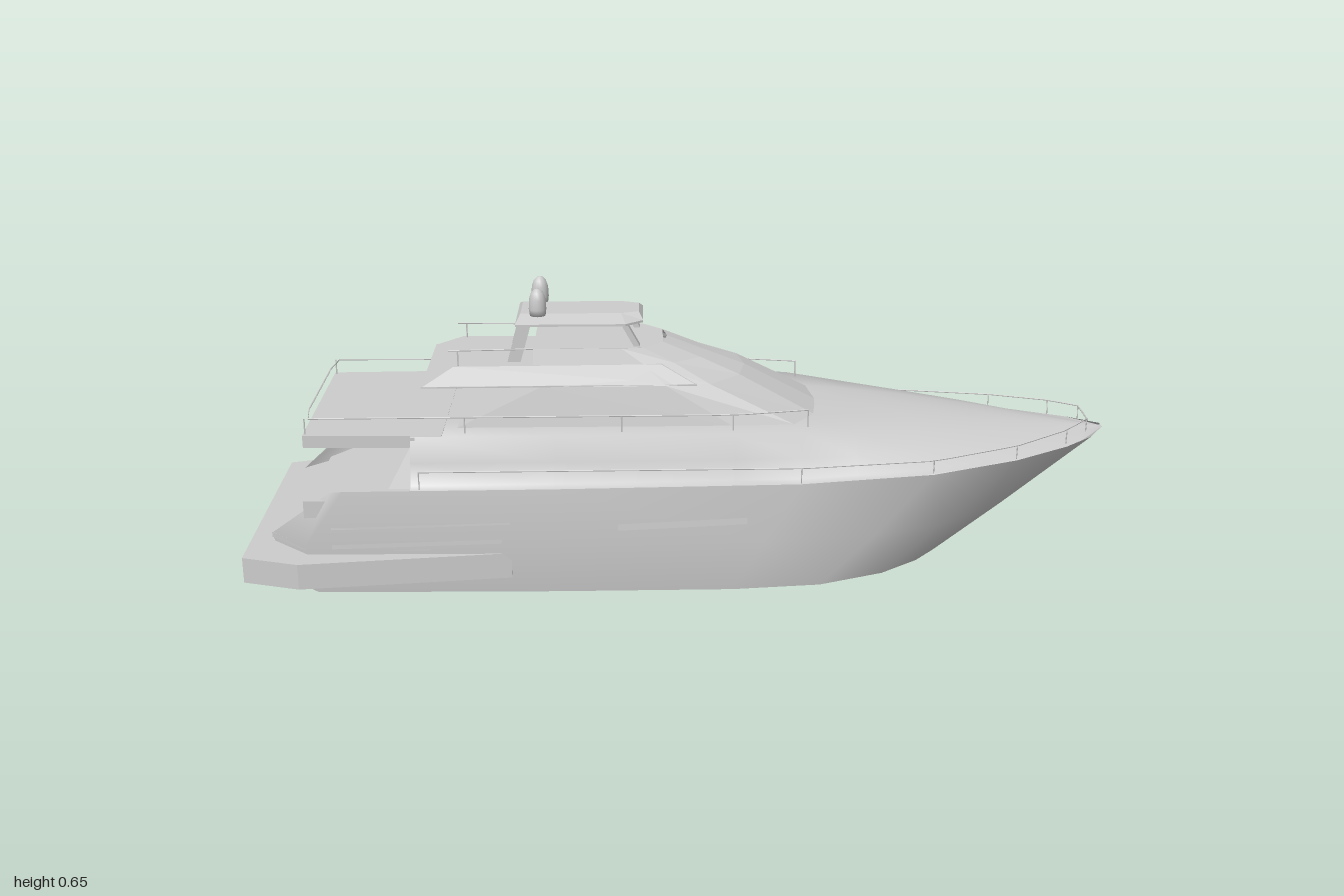
import * as THREE from 'three';

const mat = new THREE.MeshStandardMaterial({ color: 0xcccccc, side: THREE.DoubleSide });
const flat = new THREE.MeshStandardMaterial({ color: 0xcccccc, side: THREE.DoubleSide, flatShading: true });
const V = (x, y, z) => new THREE.Vector3(x, y, z);

function add(parent, name, geometry, material = flat) {
  const mesh = new THREE.Mesh(geometry, material);
  mesh.name = name;
  parent.add(mesh);
  return mesh;
}

// Surface through rows of points, all rows equally long
function loft(rows) {
  const n = rows[0].length, index = [];
  for (let i = 0; i < rows.length - 1; i++)
    for (let j = 0; j < n - 1; j++) {
      const a = i * n + j, b = a + n;
      index.push(a, b, a + 1, b, b + 1, a + 1);
    }
  const g = new THREE.BufferGeometry().setFromPoints(rows.flat());
  g.setIndex(index);
  g.computeVertexNormals();
  return g;
}

// Half outline [x, halfWidth, y?] ending at the bow, mirrored to the other side
function ring(half, y) {
  const port = half.map(([x, z, h]) => V(x, h ?? y, z));
  return [...port, ...port.slice().reverse().map(p => V(p.x, p.y, -p.z))];
}

// Flat plate from a mirrored half outline
function plate(half, y, thickness) {
  const shape = new THREE.Shape(ring(half, 0).map(p => new THREE.Vector2(p.x, p.z)));
  const g = new THREE.ExtrudeGeometry(shape, { depth: thickness, bevelEnabled: false });
  return g.rotateX(Math.PI / 2).translate(0, y + thickness, 0);
}

// Thin rod through points, straight between them
function rod(points, r = 0.0018) {
  const path = new THREE.CurvePath();
  for (let i = 1; i < points.length; i++) path.add(new THREE.LineCurve3(points[i - 1], points[i]));
  return new THREE.TubeGeometry(path, points.length * 6, r, 5);
}

// Hull outlines from stern to stem at three heights
const BOTTOM = [[-0.92, 0.19], [-0.84, 0.265], [-0.3, 0.272], [0.1, 0.27], [0.3, 0.25], [0.45, 0.19], [0.54, 0.12], [0.59, 0.06], [0.61, 0]];
const CHINE = [[-0.95, 0.2], [-0.86, 0.282], [-0.3, 0.288], [0.17, 0.284], [0.42, 0.25], [0.59, 0.185], [0.69, 0.115], [0.745, 0.06], [0.775, 0]];
const DECK = [[-0.8, 0.27, 0.245], [-0.77, 0.278, 0.25], [-0.3, 0.28, 0.253], [0.25, 0.275, 0.258], [0.55, 0.25, 0.268],
  [0.75, 0.185, 0.276], [0.88, 0.115, 0.282], [0.95, 0.06, 0.286], [0.99, 0, 0.29]];

// Value of an outline at x (column 1 = half width, 2 = height)
function at(outline, x, col) {
  let i = 1;
  while (i < outline.length - 1 && outline[i][0] < x) i++;
  const a = outline[i - 1], b = outline[i];
  return THREE.MathUtils.lerp(a[col], b[col], (x - a[0]) / (b[0] - a[0]));
}

function buildHull(root) {
  const hull = new THREE.Group();
  hull.name = 'hull';
  root.add(hull);
  add(hull, 'hullSides', loft([ring(BOTTOM, 0), ring(CHINE, 0.12), ring(DECK)]), mat);
  add(hull, 'hullBottom', plate(BOTTOM, 0, 0.004));
  add(hull, 'transom', loft([[V(-0.92, 0, 0.19), V(-0.92, 0, -0.19)], [V(-0.95, 0.12, 0.2), V(-0.95, 0.12, -0.2)]]));
  add(hull, 'aftDeck', plate([[-0.95, 0.2], [-0.86, 0.28], [-0.58, 0.284]], 0.11, 0.012));
  add(hull, 'cockpitFloor', plate([[-0.88, 0.19], [-0.83, 0.255], [-0.58, 0.27]], 0.12, 0.035));
  add(hull, 'swimPlatform', plate([[-1, 0.295], [-0.87, 0.335], [-0.4, 0.282]], 0.04, 0.06));
  for (const s of [1, -1]) {
    add(hull, 'quarterBulwark', new THREE.BoxGeometry(0.1, 0.04, 0.012)).position.set(-0.81, 0.205, s * 0.265);
    // Side strips and windows lying just outside the hull skin
    for (const [x0, x1, y0, y1] of [[-0.8, -0.42, 0.115, 0.125], [-0.8, -0.4, 0.16, 0.165], [-0.16, 0.13, 0.155, 0.17], [0.4, 0.68, 0.145, 0.18]]) {
      const row = y => Array.from({ length: 9 }, (_, i) => {
        const x = x0 + (x1 - x0) * i / 8, k = Math.max(0, (y - 0.12) / 0.135);
        return V(x, y + 0.012 * i / 8, s * (THREE.MathUtils.lerp(at(CHINE, x, 1), at(DECK, x, 1), k) + 0.003));
      });
      if (x1 < 0.5) add(hull, 'sideStrip', loft([row(y0), row(y1)]));
    }
  }
}

// Main deck house running into the curved foredeck: [x, shoulder half width, shoulder y, centre y]
function buildMainDeck(root) {
  const stations = [[-0.62, 0.232, 0.362, 0.363], [-0.3, 0.235, 0.363, 0.364], [0.1, 0.233, 0.363, 0.366], [0.25, 0.215, 0.36, 0.367],
    [0.38, 0.185, 0.347, 0.362], [0.52, 0.15, 0.334, 0.353], [0.66, 0.115, 0.32, 0.336], [0.8, 0.07, 0.306, 0.318],
    [0.92, 0.03, 0.295, 0.302], [0.985, 0.002, 0.29, 0.292]];
  const section = ([x, w, ys, yc]) => {
    const wd = at(DECK, x, 1), yd = at(DECK, x, 2), inner = Math.max(wd - 0.016, wd * 0.8);
    const half = [[wd, yd], [inner, yd + 0.006], [(inner + w) / 2 + 0.004, (yd + ys) / 2], [w, ys], [w * 0.5, yc - (yc - ys) * 0.25]];
    return [...half.map(([z, y]) => V(x, y, z)), V(x, yc, 0), ...half.reverse().map(([z, y]) => V(x, y, -z))];
  };
  add(root, 'mainDeckHouse', loft(stations.map(section)), mat);
  add(root, 'saloonBulkhead', new THREE.BoxGeometry(0.01, 0.21, 0.47)).position.set(-0.615, 0.256, 0);
  add(root, 'upperDeckOverhang', plate([[-0.86, 0.225], [-0.55, 0.232]], 0.335, 0.029));
  for (const s of [1, -1]) {
    // Sloping wing from the bulwark up to the overhang
    add(root, 'sideWing', loft([[V(-0.67, 0.25, s * 0.262), V(-0.6, 0.25, s * 0.262)], [V(-0.62, 0.34, s * 0.232), V(-0.58, 0.34, s * 0.232)]]));
  }
}

function buildUpperHouse(root) {
  const levels = [
    ring([[-0.52, 0.178], [0.1, 0.18], [0.24, 0.172], [0.29, 0.1], [0.305, 0]], 0.363),
    ring([[-0.33, 0.161], [-0.05, 0.161], [0.05, 0.15], [0.12, 0.08], [0.135, 0]], 0.453),
    ring([[-0.35, 0.11], [-0.1, 0.11], [-0.03, 0.1], [0.03, 0.055], [0.045, 0]], 0.488),
    ring([[-0.35, 0.1], [-0.15, 0.1], [-0.1, 0.095], [-0.055, 0.05], [-0.045, 0]], 0.523)];
  add(root, 'upperHouse', loft(levels));
  add(root, 'upperHouseTop', plate([[-0.35, 0.1], [-0.1, 0.095], [-0.055, 0.05]], 0.519, 0.004));
  const strip = (a, b) => loft([[a, V(a.x, a.y, -a.z)], [b, V(b.x, b.y, -b.z)]]);
  add(root, 'upperHouseBack', strip(V(-0.52, 0.363, 0.178), V(-0.33, 0.453, 0.161)));
  add(root, 'flybridgeBack', strip(V(-0.35, 0.485, 0.11), V(-0.35, 0.523, 0.1)));
  // Roof with bevelled edges, overhanging aft
  const low = [[-0.6, 0.164], [0.02, 0.158]], high = [[-0.53, 0.118], [-0.06, 0.11]];
  add(root, 'roofEdge', loft([ring(low, 0.453), ring(high, 0.488)]));
  add(root, 'roofAft', strip(V(-0.6, 0.453, 0.164), V(-0.53, 0.488, 0.118)));
  add(root, 'roofTop', plate(high, 0.484, 0.004));
  add(root, 'roofUnderside', plate(low, 0.452, 0.003));
}

function buildHardtop(root) {
  const top = new THREE.Group();
  top.name = 'hardtop';
  root.add(top);
  const outer = [[-0.39, 0.092], [-0.14, 0.092], [-0.1, 0.06]], inner = [[-0.38, 0.05], [-0.15, 0.05], [-0.11, 0.035]];
  add(top, 'hardtopPlate', plate(outer, 0.573, 0.005));
  add(top, 'hardtopCrown', loft([ring(outer, 0.578), ring(inner, 0.592)]));
  add(top, 'hardtopCrownTop', plate(inner, 0.589, 0.003));
  add(top, 'hardtopCrownBack', loft([[V(-0.39, 0.578, 0.092), V(-0.39, 0.578, -0.092)], [V(-0.38, 0.592, 0.05), V(-0.38, 0.592, -0.05)]]));
  // Raked legs: [bottom x, bottom y, top x, length along x]
  const domeProfile = [[0, 0], [0.018, 0], [0.02, 0.015], [0.019, 0.038], [0.014, 0.053], [0.006, 0.061], [0, 0.062]]
    .map(([r, y]) => new THREE.Vector2(r, y));
  for (const s of [1, -1]) {
    for (const [x, y, tx, w] of [[-0.41, 0.488, -0.385, 0.03], [-0.12, 0.52, -0.15, 0.014]]) {
      const leg = new THREE.Shape([[x, y], [x + w, y], [tx + w, 0.575], [tx, 0.575]].map(p => new THREE.Vector2(...p)));
      const g = new THREE.ExtrudeGeometry(leg, { depth: 0.024, bevelEnabled: false });
      add(top, 'hardtopLeg', g.translate(0, 0, s * 0.075 - 0.012));
    }
    add(top, 'radarDome', new THREE.LatheGeometry(domeProfile, 16), mat).position.set(-0.34, 0.59, s * 0.055);
  }
}

function buildRails(root) {
  const rails = new THREE.Group();
  rails.name = 'rails';
  root.add(rails);
  // Upper deck rail with posts
  add(rails, 'upperRail', rod([V(0.27, 0.4, 0.18), V(0.1, 0.4, 0.21), V(-0.855, 0.4, 0.215), V(-0.855, 0.4, -0.215), V(0.1, 0.4, -0.21), V(0.27, 0.4, -0.18)]));
  // Side and bow rail following the sheer
  const side = [[-0.6, 0.278, 0.295], [0.25, 0.275, 0.296], [0.55, 0.246, 0.3], [0.75, 0.18, 0.31], [0.88, 0.105, 0.32], [0.94, 0.045, 0.326]];
  add(rails, 'bowRail', rod(ring(side)));
  for (const s of [1, -1]) {
    for (const [x, z] of [[-0.855, 0.215], [-0.5, 0.213], [-0.15, 0.212], [0.1, 0.21], [0.27, 0.18]])
      add(rails, 'upperPost', rod([V(x, 0.355, s * z), V(x, 0.4, s * z)]));
    for (const [x, z, y] of side)
      add(rails, 'bowPost', rod([V(x, at(DECK, x, 2), s * (z - 0.004)), V(x, y, s * z)], 0.0014));
    add(rails, 'flybridgeRail', rod([V(-0.54, 0.523, s * 0.11), V(-0.35, 0.523, s * 0.1)]));
    add(rails, 'flybridgePost', rod([V(-0.52, 0.485, s * 0.11), V(-0.52, 0.523, s * 0.11)]));
  }
}

export function createModel() {
  const root = new THREE.Group();
  root.name = 'motorYacht';
  buildHull(root);
  buildMainDeck(root);
  buildUpperHouse(root);
  buildHardtop(root);
  buildRails(root);
  return root;
}
